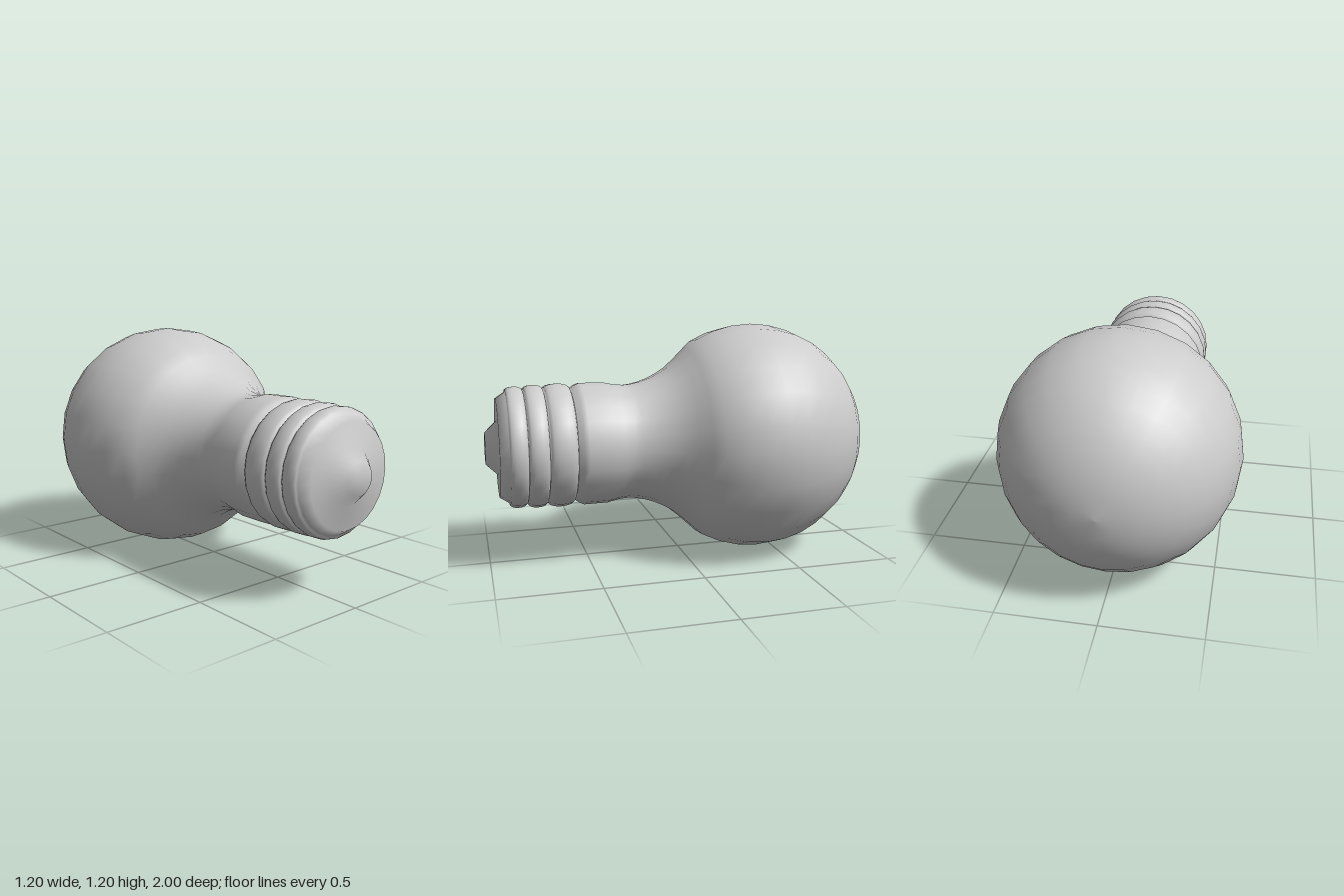
import * as THREE from 'three';

const SEGMENTS = 24;
const material = new THREE.MeshStandardMaterial({ color: 0xcccccc });

// Turn a [radius, z] profile (back to front) around the z axis
function turned(name, profile) {
  const points = profile.map(([r, z]) => new THREE.Vector2(r, z));
  const geometry = new THREE.LatheGeometry(points, SEGMENTS).rotateX(Math.PI / 2);
  const mesh = new THREE.Mesh(geometry, material);
  mesh.name = name;
  return mesh;
}

// Rounded ridge between two grooves
function ridge(z0, z1, grooveRadius, height) {
  const points = [];
  for (let i = 1; i <= 8; i++) {
    const a = (i / 8) * Math.PI;
    points.push([grooveRadius + height * Math.sin(a) ** 0.8, (z0 + z1) / 2 - ((z1 - z0) / 2) * Math.cos(a)]);
  }
  return points;
}

export function createModel() {
  const model = new THREE.Group();
  model.name = 'lightBulb';

  // Glass: spherical globe flowing into a waisted neck and straight collar
  const glass = [];
  for (let deg = 0; deg <= 120; deg += 10) {
    const a = THREE.MathUtils.degToRad(deg);
    glass.push([0.6 * Math.sin(a), -0.4 - 0.6 * Math.cos(a)]);
  }
  glass.push(
    [0.472, -0.05], [0.425, 0], [0.383, 0.05], [0.352, 0.1], [0.328, 0.15], [0.311, 0.2],
    [0.3, 0.25], [0.296, 0.29], [0.3, 0.34], [0.313, 0.4], [0.314, 0.52], [0.303, 0.545], [0.284, 0.57]
  );
  model.add(turned('glassBulb', glass));

  // Screw base: three ridges, tapered end and raised contact
  const base = [
    [0.284, 0.57],
    ...ridge(0.57, 0.705, 0.284, 0.031),
    ...ridge(0.705, 0.805, 0.284, 0.028),
    ...ridge(0.805, 0.895, 0.28, 0.027),
    [0.25, 0.94], [0.138, 0.94], [0.08, 1], [0, 1],
  ];
  model.add(turned('screwBase', base));

  model.position.y = 0.605;
  return model;
}
